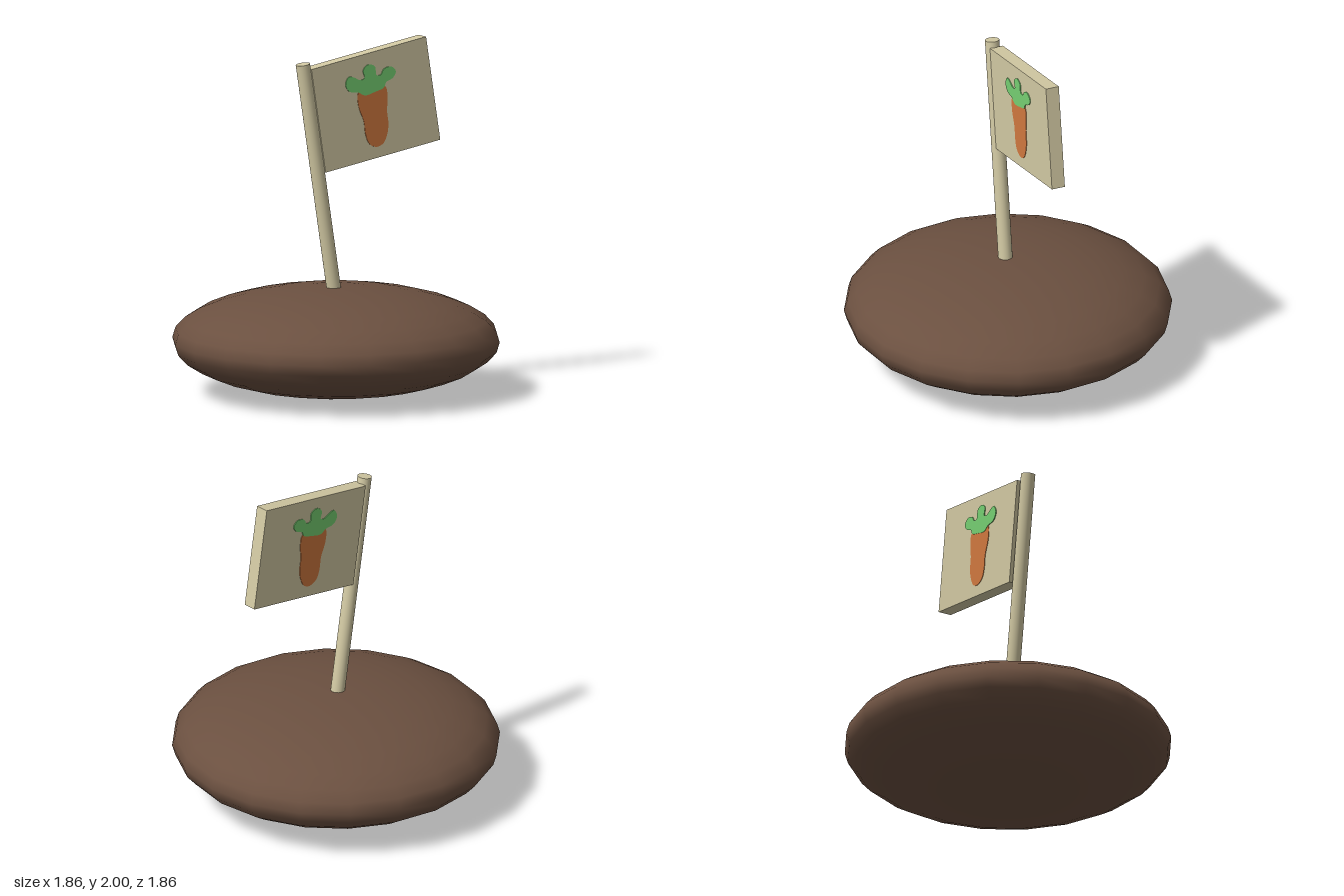
import * as THREE from 'three';

const mat = (name, color) => {
  const m = new THREE.MeshStandardMaterial({ color });
  m.name = name;
  return m;
};

export function createModel() {
  const soil = mat('soil brown', 0x6b5040);
  const cream = mat('cream', 0xd2c9a3);
  const orange = mat('carrot orange', 0xd0783f);
  const green = mat('leaf green', 0x76cf72);

  const add = (parent, name, geometry, material, x = 0, y = 0, z = 0) => {
    const mesh = new THREE.Mesh(geometry, material);
    mesh.name = name;
    mesh.position.set(x, y, z);
    parent.add(mesh);
    return mesh;
  };

  const model = new THREE.Group();
  model.name = 'flagOnMound';

  // Flattened mound of soil
  add(model, 'mound', new THREE.SphereGeometry(1, 20, 16), soil, 0, 0.306, 0).scale.set(0.932, 0.306, 0.932);

  // Leaning pole; the group's origin is the pole's top
  const pole = new THREE.Group();
  pole.name = 'leaningFlag';
  pole.position.set(-0.222, 1.908, 0.008);
  pole.rotation.z = 0.154;
  model.add(pole);
  add(pole, 'pole', new THREE.CylinderGeometry(0.041, 0.041, 1.62, 20), cream, 0, -0.81, 0);

  // Flag board, turned slightly about the pole
  const flag = new THREE.Group();
  flag.name = 'flag';
  flag.position.set(0.033, -0.339, -0.011);
  flag.rotation.y = 0.042;
  pole.add(flag);
  const width = 0.78, height = 0.607, depth = 0.08;
  add(flag, 'flagBoard', new THREE.BoxGeometry(width, height, depth), cream, width / 2, 0, 0);

  // Carrot picture: outlines around the middle of the board
  const root = [
    [-0.104, 0.097], [-0.116, 0.018], [-0.095, -0.076], [-0.096, -0.147], [-0.08, -0.21],
    [-0.034, -0.24], [0.013, -0.23], [0.044, -0.189], [0.063, -0.131], [0.066, -0.051],
    [0.083, 0.028], [0.076, 0.09], [0.003, 0.1],
  ];
  const leaves = [
    [-0.183, 0.16], [-0.154, 0.201], [-0.12, 0.19], [-0.083, 0.165], [-0.052, 0.17],
    [-0.056, 0.211], [-0.037, 0.233], [-0.006, 0.239], [0.026, 0.218], [0.028, 0.168],
    [0.058, 0.163], [0.082, 0.19], [0.133, 0.192], [0.158, 0.158], [0.133, 0.126],
    [0.086, 0.113], [0.066, 0.086], [0.004, 0.075], [-0.067, 0.071], [-0.104, 0.097], [-0.162, 0.116],
  ];
  const plate = (points, thickness) => {
    const curve = new THREE.CatmullRomCurve3(points.map(([x, y]) => new THREE.Vector3(x, y, 0)), true);
    const outline = curve.getPoints(points.length * 4).slice(0, -1).map((p) => new THREE.Vector2(p.x, p.y));
    return new THREE.ExtrudeGeometry(new THREE.Shape(outline), { depth: thickness, bevelEnabled: false });
  };

  // Same picture on both faces of the board
  for (const [side, sign] of [['front', 1], ['back', -1]]) {
    for (const [name, points, thickness, material] of [
      ['CarrotRoot', root, 0.003, orange],
      ['CarrotLeaves', leaves, 0.005, green],
    ]) {
      const z = sign > 0 ? depth / 2 : -depth / 2 - thickness;
      add(flag, side + name, plate(points, thickness), material, width / 2, 0, z);
    }
  }
  return model;
}
